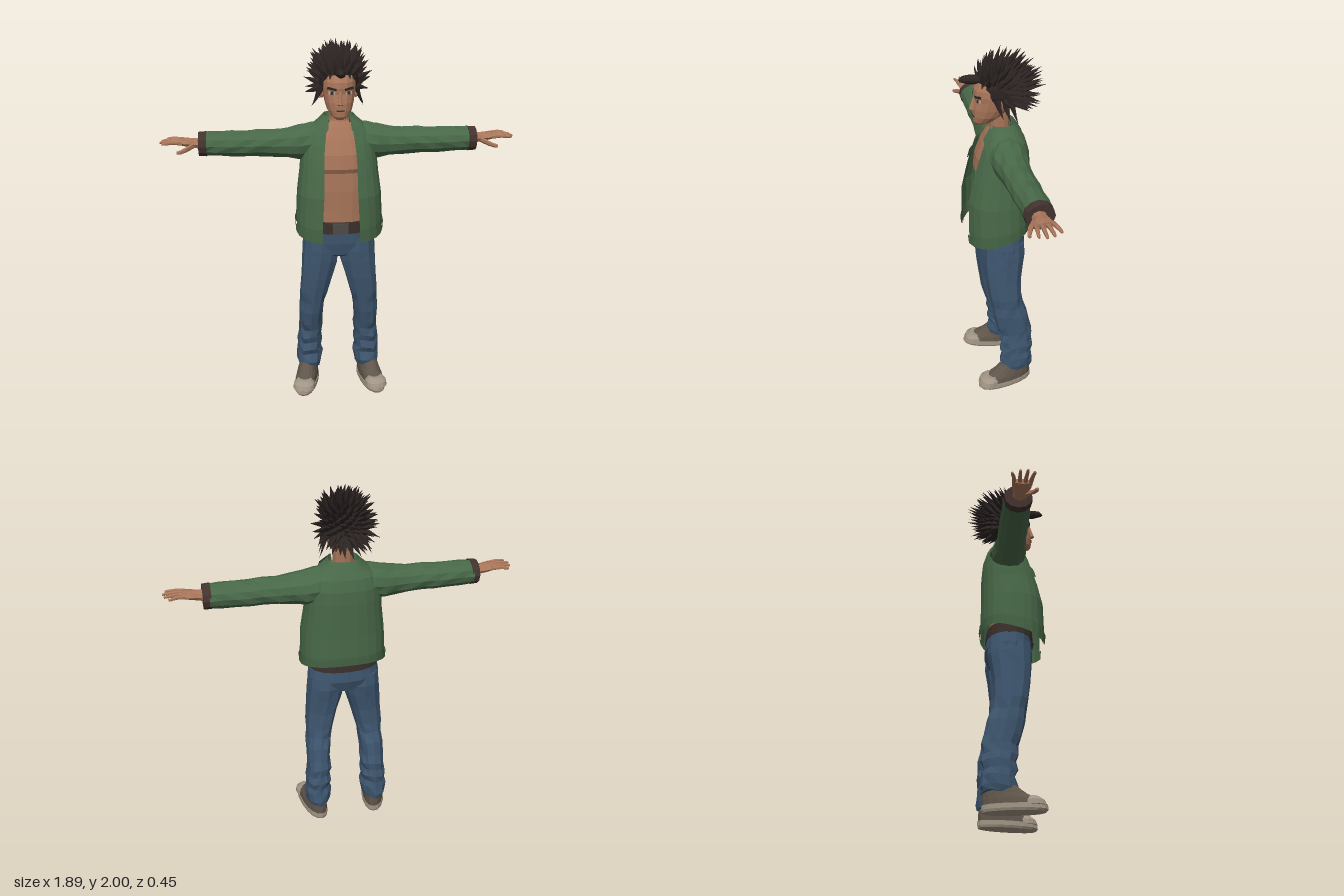
import * as THREE from 'three';
import { mergeGeometries } from 'three/addons/utils/BufferGeometryUtils.js';

const V = (x, y, z) => new THREE.Vector3(x, y, z);
const mat = (name, color, side = THREE.FrontSide) => {
  const m = new THREE.MeshStandardMaterial({ color, side });
  m.name = name;
  return m;
};
const pow = (v, e) => Math.sign(v) * Math.abs(v) ** e;

// Faceted skin over a list of rings of points
function loft(rings, closed = true) {
  const p = [], n = rings[0].length;
  const tri = (...q) => q.forEach(v => p.push(v.x, v.y, v.z));
  for (let i = 0; i < rings.length - 1; i++)
    for (let j = 0; j < (closed ? n : n - 1); j++) {
      const k = (j + 1) % n, A = rings[i], B = rings[i + 1];
      tri(A[j], A[k], B[k]);
      tri(A[j], B[k], B[j]);
    }
  if (closed) [rings[0], rings.at(-1)].forEach((r, end) => {
    const c = r.reduce((s, v) => s.add(v), V(0, 0, 0)).divideScalar(n);
    for (let j = 0; j < n; j++) {
      const k = (j + 1) % n;
      end ? tri(c, r[j], r[k]) : tri(c, r[k], r[j]);
    }
  });
  const g = new THREE.BufferGeometry();
  g.setAttribute('position', new THREE.Float32BufferAttribute(p, 3));
  g.computeVertexNormals();
  return g;
}

// Flat-shaded copy of a built-in geometry
function facet(g) {
  const f = g.index ? g.toNonIndexed() : g;
  f.deleteAttribute('uv');
  f.computeVertexNormals();
  return f;
}

// Mirror in x and restore the corner order
function mirror(g) {
  const m = g.clone().scale(-1, 1, 1), a = m.attributes.position;
  for (let i = 0; i < a.count; i += 3) {
    const b = V().fromBufferAttribute(a, i + 1), c = V().fromBufferAttribute(a, i + 2);
    a.setXYZ(i + 1, c.x, c.y, c.z);
    a.setXYZ(i + 2, b.x, b.y, b.z);
  }
  m.computeVertexNormals();
  return m;
}

// Horizontal ring between left/right x and front/back z; an opening leaves the front clear
function ringY([y, x0, x1, zf, zb], { n = 14, e = 0.85, open = 0, crease = 0 } = {}) {
  const cx = (x0 + x1) / 2, w = (x1 - x0) / 2, cz = (zf + zb) / 2, d = (zf - zb) / 2;
  const t0 = open ? Math.asin((open / w) ** (1 / e)) : 0;
  return Array.from({ length: n }, (_, j) => {
    const t = open ? t0 + (2 * Math.PI - 2 * t0) * j / (n - 1) : 2 * Math.PI * j / n;
    const k = 1 + crease * Math.sin(j * 2.3 + y * 60);
    return V(cx + w * k * pow(Math.sin(t), e), y + crease * 0.25 * Math.sin(j * 1.7 + y * 9),
      cz + d * k * pow(Math.cos(t), e));
  });
}
// Vertical ring across the x axis: centre y, centre z, half height, half depth
const ringX = ([x, cy, cz, ry, rz], n = 10, crease = 0) => Array.from({ length: n }, (_, j) => {
  const t = 2 * Math.PI * j / n, k = 1 + crease * Math.sin(j * 2.1 + x * 47);
  return V(x, cy + ry * k * Math.cos(t), cz + rz * k * Math.sin(t));
});
const sym = rows => rows.map(([y, w, f, b]) => [y, -w, w, f, b]);
const body = (rows, o) => loft(sym(rows).map(r => ringY(r, o)));

// Jacket sections: y, half width, front z, back z, half opening
const JACKET = [
  [1.0, 0.232, 0.195, -0.15, 0.1], [1.06, 0.235, 0.2, -0.155, 0.1], [1.2, 0.228, 0.195, -0.152, 0.09],
  [1.32, 0.212, 0.168, -0.152, 0.088], [1.4, 0.205, 0.145, -0.152, 0.086], [1.47, 0.2, 0.12, -0.147, 0.08],
  [1.53, 0.175, 0.096, -0.13, 0.072], [1.57, 0.13, 0.078, -0.105, 0.065], [1.605, 0.088, 0.06, -0.08, 0.055]];
const jacketRing = ([y, w, f, b, open], grow = 0) =>
  ringY([y, -w - grow, w + grow, f + grow, b - grow], { n: 22, e: 0.8, open })
    .map(p => p.setY(p.y - p.z * 0.25 * Math.max(0, 1 - (y - 1) / 0.2)));
function jacketZ(x, y) {
  const i = Math.max(0, JACKET.findIndex(r => r[0] > y) - 1), a = JACKET[i], b = JACKET[i + 1];
  const [, w, f, k] = a.map((v, c) => v + (b[c] - v) * (y - a[0]) / (b[0] - a[0]));
  const s = Math.min(1, (x / w) ** 1.25);
  return (f + k) / 2 + (f - k) / 2 * Math.sqrt(1 - s * s) ** 0.8;
}

export function createModel() {
  const root = new THREE.Group();
  root.name = 'standingMan';
  const skin = mat('skin', 0xa9765a, THREE.DoubleSide), hair = mat('darkHair', 0x2c2423);
  const green = mat('jacketGreen', 0x486848, THREE.DoubleSide), denim = mat('denimBlue', 0x3e566f);
  const cuff = mat('cuffBrown', 0x43332f), leather = mat('beltLeather', 0x3a2f2b);
  const metal = mat('buckleGrey', 0x4f4a48), canvas = mat('shoeCanvas', 0x5f554a);
  const rubber = mat('shoeRubber', 0xa09484), white = mat('eyeWhite', 0xb9a898);
  const add = (name, g, m) => {
    const mesh = new THREE.Mesh(g, m);
    mesh.name = name;
    root.add(mesh);
  };
  const both = (name, g, m) => { add(name + 'Left', g, m); add(name + 'Right', mirror(g), m); };
  const box = (w, h, d, x, y, z, rz = 0, ry = 0) =>
    facet(new THREE.BoxGeometry(w, h, d).rotateZ(rz).rotateY(ry).translate(x, y, z));

  // Bare chest, neck and head
  add('chest', body([[0.98, 0.165, 0.12, -0.1], [1.1, 0.16, 0.122, -0.1], [1.22, 0.165, 0.126, -0.11],
    [1.32, 0.17, 0.122, -0.11], [1.345, 0.172, 0.134, -0.11], [1.42, 0.17, 0.124, -0.11],
    [1.5, 0.14, 0.096, -0.1], [1.56, 0.09, 0.068, -0.07], [1.59, 0.055, 0.052, -0.055]], { n: 18 }), skin);
  add('neck', body([[1.54, 0.062, 0.06, -0.06], [1.6, 0.054, 0.052, -0.055], [1.7, 0.054, 0.06, -0.06]]), skin);
  add('head', body([[1.613, 0.022, 0.125, 0.07], [1.628, 0.045, 0.136, 0.03], [1.66, 0.066, 0.138, -0.02],
    [1.7, 0.078, 0.138, -0.06], [1.745, 0.086, 0.128, -0.08], [1.775, 0.089, 0.133, -0.09],
    [1.805, 0.088, 0.13, -0.1], [1.835, 0.084, 0.113, -0.1], [1.88, 0.06, 0.06, -0.07]], { n: 16, e: 0.92 }), skin);
  add('nose', loft([[1.69, 0.015, 0.142], [1.697, 0.017, 0.158], [1.73, 0.011, 0.146], [1.765, 0.008, 0.134]]
    .map(([y, w, f]) => ringY([y, -w, w, f, 0.11], { n: 6 }))), skin);
  add('mouth', box(0.044, 0.005, 0.008, 0, 1.662, 0.136), cuff);
  both('ear', facet(new THREE.SphereGeometry(1, 6, 5).scale(0.014, 0.03, 0.02).translate(0.09, 1.735, 0.01)), skin);
  both('eye', box(0.036, 0.015, 0.006, 0.043, 1.752, 0.116, 0.05, 0.35), white);
  both('iris', box(0.015, 0.016, 0.008, 0.042, 1.752, 0.118, 0, 0.35), leather);
  both('eyebrow', box(0.048, 0.011, 0.009, 0.044, 1.774, 0.12, 0.16, 0.35), hair);

  // Hair: a scalp covered in swept spikes
  let seed = 7;
  const rnd = () => (seed = (seed * 16807) % 2147483647) / 2147483647;
  const spike = (base, dir, len, r, bend) => {
    const g = new THREE.ConeGeometry(r, len, 5, 3).translate(0, len / 2, 0).scale(1, 1, 0.7);
    const a = g.attributes.position, q = new THREE.Quaternion().setFromUnitVectors(V(0, 1, 0), dir);
    for (let i = 0; i < a.count; i++) {
      const p = V().fromBufferAttribute(a, i), h = p.y / len;
      p.applyQuaternion(q).add(base).addScaledVector(bend, h * h);
      a.setXYZ(i, p.x, p.y, p.z);
    }
    return facet(g);
  };
  const locks = [facet(new THREE.SphereGeometry(1, 12, 9).scale(0.105, 0.12, 0.13).translate(0, 1.8, -0.01))];
  const N = 190;
  for (let i = 0; i < N; i++) {
    const y = 1 - 1.75 * (i + 0.5) / N, s = Math.sqrt(1 - y * y), t = i * 2.39996;
    const d = V(s * Math.sin(t), y, s * Math.cos(t));
    const len = 0.075 + 0.035 * rnd();
    if ((d.z > 0.1 && d.y < 0.3) || (d.z > -0.35 && d.y < -0.45)) continue;
    const base = V(d.x * 0.09, 1.8 + d.y * 0.105, -0.01 + d.z * 0.112);
    const dir = V(d.x, d.y * 0.9 + (d.y > -0.2 ? 0.3 : -0.1), d.z * 0.8 - 0.35).normalize();
    locks.push(spike(base, dir, len, 0.021 + 0.006 * rnd(), V(0, 0.005, -0.02)));
  }
  // Crest, temple locks and the forelock
  for (const x of [-0.085, -0.045, 0, 0.05, 0.09])
    locks.push(spike(V(x * 0.8, 1.875, 0.07 - Math.abs(x) * 0.4), V(x * 2.5, 1, 0.1).normalize(), 0.105, 0.024, V(0, 0, -0.03)));
  for (const s of [-1, 1]) for (const k of [0, 1, 2])
    locks.push(spike(V(s * 0.092, 1.77, 0.03 - k * 0.035), V(s * 0.25, -1, -0.15).normalize(), 0.1 + k * 0.015, 0.022, V(s * 0.015, 0, -0.01)));
  locks.push(facet(new THREE.SphereGeometry(1, 7, 6).scale(0.026, 0.024, 0.075).rotateX(-0.08).translate(0, 1.856, 0.138)));
  add('hair', mergeGeometries(locks), hair);

  // Open jacket with hem band, collar and pocket flaps
  add('jacketBody', loft(JACKET.map(r => jacketRing(r)), false), green);
  add('jacketHem', loft([JACKET[0], [1.045, ...JACKET[1].slice(1)]].map(r => jacketRing(r, 0.007)), false), green);
  add('collarBand', loft([[1.565, 0.125, 0.08, -0.115, 0.075], [1.615, 0.082, 0.058, -0.085, 0.055],
    [1.575, 0.075, 0.05, -0.07, 0.05]].map(r => jacketRing(r)), false), green);
  both('collarPoint', loft([[V(0.062, 1.55, 0.098), V(0.128, 1.49, 0.1)],
    [V(0.055, 1.615, 0.055), V(0.115, 1.57, 0.062)]], false), green);
  const flap = [0.1, 0.125, 0.15, 0.172, 0.192];
  both('pocketFlap', loft([[1.372, 1.358, 1.343, 1.358, 1.372], [1.405, 1.405, 1.405, 1.405, 1.405]]
    .map(row => row.map((y, i) => V(flap[i], y, jacketZ(flap[i], y) + 0.009))), false), green);
  both('sleeve', loft([[0.08, 1.5, -0.015, 0.075, 0.08], [0.15, 1.475, -0.015, 0.095, 0.1], [0.21, 1.465, -0.012, 0.093, 0.098],
    [0.27, 1.463, -0.01, 0.082, 0.085], [0.35, 1.462, -0.01, 0.073, 0.08], [0.43, 1.465, -0.01, 0.073, 0.076],
    [0.5, 1.462, -0.012, 0.068, 0.078], [0.57, 1.463, -0.012, 0.07, 0.074], [0.65, 1.465, -0.014, 0.066, 0.073],
    [0.71, 1.465, -0.014, 0.065, 0.073]].map(r => ringX(r, 12, 0.035))), green);
  both('cuff', loft([[0.7, 1.465, -0.012, 0.068, 0.075], [0.742, 1.465, -0.012, 0.065, 0.072]].map(r => ringX(r, 12))), cuff);

  // Hands with four fingers and a thumb
  const hand = [loft([[0.72, 1.468, -0.005, 0.034, 0.04], [0.765, 1.472, -0.005, 0.026, 0.036],
    [0.8, 1.478, -0.002, 0.022, 0.048], [0.845, 1.484, -0.002, 0.015, 0.05]].map(r => ringX(r, 8)))];
  const finger = (pts, r) => hand.push(loft(pts.map(([x, y, z], i) => ringX([x, y, z, r * (1 - i * 0.17), r * (1 - i * 0.17)], 6))));
  [[-0.04, -0.058, 0.915], [-0.014, -0.02, 0.936], [0.012, 0.016, 0.943], [0.037, 0.05, 0.93]].forEach(([z0, z1, tip]) =>
    finger([[0.825, 1.483, z0], [0.875, 1.488, (z0 + z1) / 2], [tip - 0.012, 1.484, z1], [tip, 1.482, z1]], 0.0125));
  finger([[0.765, 1.468, 0.02], [0.805, 1.452, 0.055], [0.835, 1.442, 0.068], [0.852, 1.44, 0.07]], 0.017);
  both('hand', mergeGeometries(hand), skin);

  // Belt and jeans
  add('belt', body([[0.982, 0.192, 0.136, -0.128], [1.045, 0.186, 0.132, -0.122]], { n: 18 }), leather);
  add('buckle', box(0.085, 0.06, 0.014, 0, 1.013, 0.135), metal);
  add('jeansHips', body([[0.83, 0.17, 0.08, -0.07], [0.85, 0.198, 0.11, -0.105], [0.92, 0.2, 0.126, -0.13],
    [1.0, 0.188, 0.131, -0.124]], { n: 18 }), denim);
  both('jeansLeg', loft([[0.1, 0.105, 0.232, 0.028, -0.15], [0.13, 0.098, 0.24, 0.035, -0.157], [0.18, 0.088, 0.243, 0.022, -0.152],
    [0.215, 0.103, 0.235, 0.036, -0.147], [0.26, 0.09, 0.238, 0.026, -0.157], [0.3, 0.1, 0.23, 0.042, -0.148],
    [0.35, 0.088, 0.226, 0.036, -0.153], [0.4, 0.093, 0.226, 0.056, -0.138], [0.48, 0.085, 0.226, 0.076, -0.125],
    [0.54, 0.078, 0.22, 0.08, -0.1], [0.6, 0.062, 0.222, 0.095, -0.094], [0.7, 0.036, 0.214, 0.11, -0.094],
    [0.8, 0.006, 0.208, 0.12, -0.108], [0.87, 0, 0.203, 0.122, -0.12], [0.94, 0.01, 0.196, 0.12, -0.115]]
    .map(r => ringY(r, { n: 12, crease: r[0] < 0.85 ? 0.03 : 0 }))), denim);

  // Shoes, turned slightly outward
  const shoe = (name, rows, m) => both(name, body(rows, { n: 16, e: 0.9 })
    .translate(0, 0, 0.07).rotateY(0.2).translate(0.172, 0, -0.07), m);
  shoe('shoeSole', [[0, 0.062, 0.174, -0.146], [0.012, 0.067, 0.184, -0.15], [0.036, 0.066, 0.18, -0.15]], rubber);
  shoe('shoeUpper', [[0.03, 0.063, 0.168, -0.146], [0.065, 0.059, 0.14, -0.146], [0.09, 0.053, 0.085, -0.144],
    [0.12, 0.048, 0.045, -0.14], [0.15, 0.044, 0.015, -0.135]], canvas);
  shoe('shoeToeCap', [[0.03, 0.063, 0.179, 0.05], [0.055, 0.06, 0.168, 0.06], [0.075, 0.042, 0.14, 0.08]], rubber);
  return root;
}
